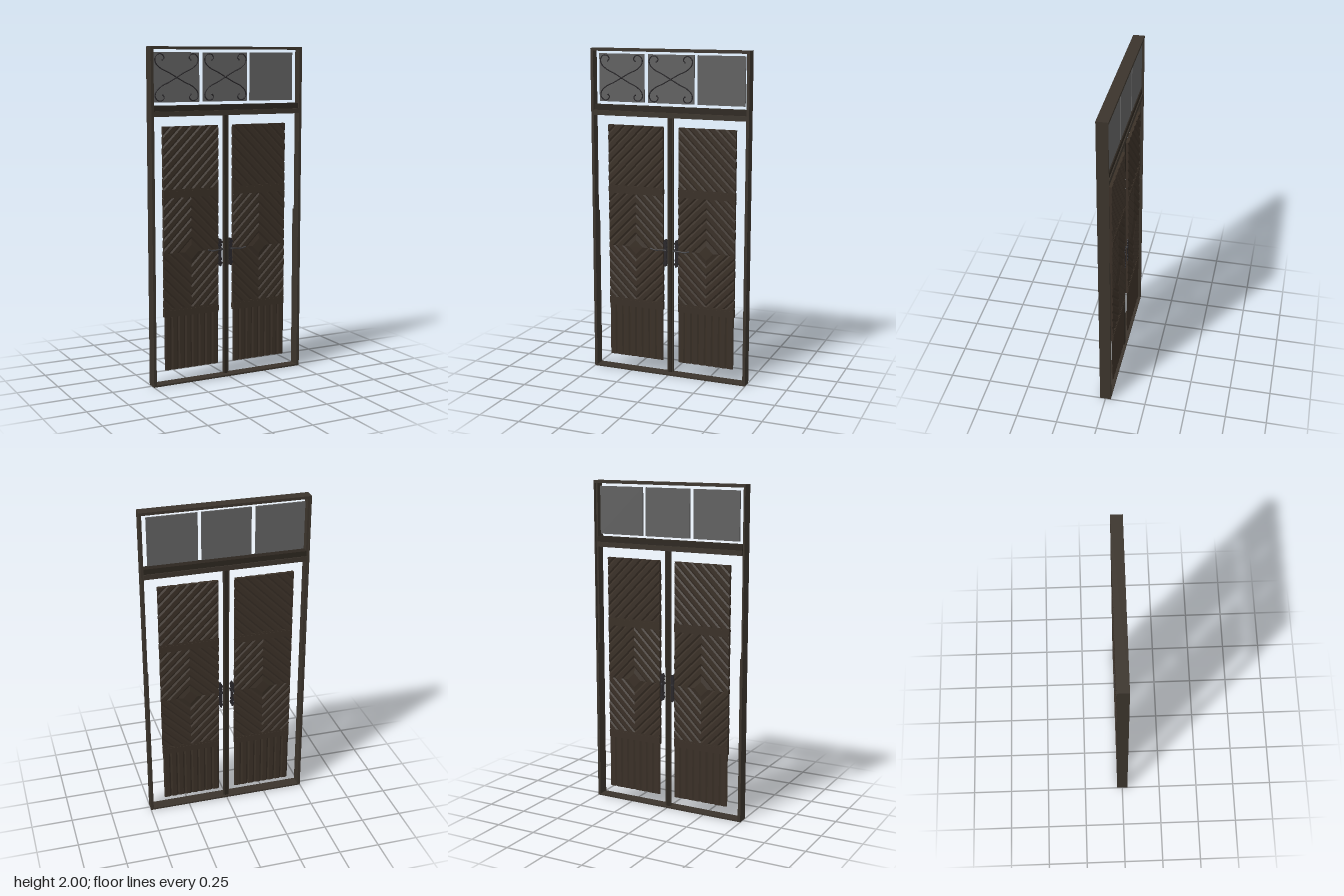
import * as THREE from 'three';

const mat = (name, color) => {
  const m = new THREE.MeshStandardMaterial({ color });
  m.name = name;
  return m;
};

// keep the part of a convex polygon where nx*x + ny*y <= d
function clip(poly, nx, ny, d) {
  const out = [];
  poly.forEach((p, i) => {
    const q = poly[(i + 1) % poly.length];
    const fp = nx * p[0] + ny * p[1] - d, fq = nx * q[0] + ny * q[1] - d;
    if (fp <= 0) out.push(p);
    if (fp * fq < 0) {
      const t = fp / (fp - fq);
      out.push([p[0] + (q[0] - p[0]) * t, p[1] + (q[1] - p[1]) * t]);
    }
  });
  return out;
}

// board section: position across the width, half thickness
const SECTION = [[0, 0.005], [0.22, 0.011], [0.78, 0.011], [1, 0.005]];

// two-sided bevelled boards filling a convex counter-clockwise region,
// running along the lines nx*x + ny*y = start + i*width
function boards(region, nx, ny, start, width) {
  const pos = [];
  const across = ([x, y]) => nx * x + ny * y;
  const end = Math.max(...region.map(across));
  for (let e = start; e < end; e += width) {
    for (let k = 0; k < SECTION.length - 1; k++) {
      const [u0, h0] = SECTION[k], [u1, h1] = SECTION[k + 1];
      const t0 = e + u0 * width, t1 = e + u1 * width;
      const poly = clip(clip(region, nx, ny, t1), -nx, -ny, -t0);
      if (poly.length < 3) continue;
      const at = (p, side) => [p[0], p[1], side * (h0 + (h1 - h0) * (across(p) - t0) / (t1 - t0))];
      for (let i = 1; i < poly.length - 1; i++) {
        pos.push(...at(poly[0], 1), ...at(poly[i], 1), ...at(poly[i + 1], 1));
        pos.push(...at(poly[0], -1), ...at(poly[i + 1], -1), ...at(poly[i], -1));
      }
      // end grain, only where an edge crosses the board
      poly.forEach((p, i) => {
        const q = poly[(i + 1) % poly.length];
        if (Math.abs(across(p) - across(q)) < 1e-5) return;
        pos.push(...at(p, -1), ...at(q, -1), ...at(q, 1), ...at(p, -1), ...at(q, 1), ...at(p, 1));
      });
    }
  }
  const geo = new THREE.BufferGeometry();
  geo.setAttribute('position', new THREE.Float32BufferAttribute(pos, 3));
  geo.computeVertexNormals();
  return geo;
}
const rect = (x0, x1, y0, y1) => [[x0, y0], [x1, y0], [x1, y1], [x0, y1]];

export function createModel() {
  const root = new THREE.Group();
  root.name = 'doubleDoor';
  const frameWood = mat('frameWood', 0x3b342c);
  const darkWood = mat('darkWood', 0x2c261f);
  const panelWood = mat('panelWood', 0x3a3027);
  const glass = mat('greyGlass', 0x606060);
  const iron = mat('blackIron', 0x29272a);
  const steel = mat('darkSteel', 0x3f3f42);

  const add = (parent, name, geo, m, x = 0, y = 0, z = 0) => {
    const mesh = new THREE.Mesh(geo, m);
    mesh.name = name;
    mesh.position.set(x, y, z);
    parent.add(mesh);
    return mesh;
  };
  // box given by its x, y and z ranges
  const box = (parent, name, m, x0, x1, y0, y1, z0, z1) =>
    add(parent, name, new THREE.BoxGeometry(x1 - x0, y1 - y0, z1 - z0), m,
      (x0 + x1) / 2, (y0 + y1) / 2, (z0 + z1) / 2);

  // outer frame; the upper half of each jamb is rebated at the back
  const D = 0.034;
  for (const s of [-1, 1]) {
    add(root, 'lowerJamb', new THREE.BoxGeometry(0.017, 1, 2 * D), frameWood, s * 0.4915, 0.5, 0);
    add(root, 'upperJamb', new THREE.BoxGeometry(0.017, 0.984, 0.052), frameWood, s * 0.4915, 1.492, 0.008);
    add(root, 'upperJambLip', new THREE.BoxGeometry(0.005, 0.984, 0.016), frameWood, s * 0.4975, 1.492, -0.026);
  }
  box(root, 'frameHead', frameWood, -0.5, 0.5, 1.984, 2, -D, D);
  box(root, 'frameSill', frameWood, -0.483, 0.483, 0, 0.01, -D, D);

  // transom rail and centre post
  box(root, 'transomRail', frameWood, -0.483, 0.483, 1.6, 1.63, -0.032, 0.032);
  box(root, 'transomMoulding', darkWood, -0.483, 0.483, 1.63, 1.662, -0.026, 0.02);
  box(root, 'centrePost', frameWood, -0.018, 0.018, 0.01, 1.6, -0.019, -0.007);
  box(root, 'postBead', darkWood, -0.01, 0.01, 0.01, 1.6, -0.022, -0.004);

  // transom panes
  const Z = -0.02;
  const paneX = [[-0.465, -0.172], [-0.147, 0.146], [0.167, 0.46]];
  for (const [a, b] of paneX) box(root, 'transomPane', glass, a, b, 1.68, 1.967, Z - 0.005, Z + 0.005);

  // wrought scrolls in front of two panes: four curled arms meeting at a collar
  const arm = [[0, 0], [0.05, 0.028], [0.1, 0.052], [0.132, 0.083], [0.136, 0.112],
    [0.118, 0.133], [0.092, 0.132], [0.08, 0.113], [0.09, 0.1]];
  for (const [a, b] of paneX.slice(0, 2)) {
    const scroll = new THREE.Group();
    scroll.name = 'ironScroll';
    scroll.position.set((a + b) / 2, 1.8235, Z + 0.008);
    root.add(scroll);
    for (const sx of [-1, 1]) for (const sy of [-1, 1]) {
      const path = new THREE.CatmullRomCurve3(arm.map(([x, y]) => new THREE.Vector3(x * sx, y * sy, 0)));
      add(scroll, 'scrollArm', new THREE.TubeGeometry(path, 40, 0.0035, 6), iron);
      add(scroll, 'scrollTip', new THREE.SphereGeometry(0.005, 8, 6), iron, 0.09 * sx, 0.1 * sy, 0);
    }
    add(scroll, 'scrollCollar', new THREE.SphereGeometry(0.006, 8, 6), iron);
  }

  // door leaves
  const X0 = 0.05, X1 = 0.409, CX = (X0 + X1) / 2, CY = 0.79, PITCH = 0.0625, LOZENGE = 0.08;
  for (const s of [-1, 1]) {
    const leaf = new THREE.Group();
    leaf.name = s > 0 ? 'leftLeaf' : 'rightLeaf';
    leaf.position.z = Z;
    root.add(leaf);
    const a = s > 0 ? X0 : -X1, b = s > 0 ? X1 : -X0, cx = s * CX;

    // upper diagonal boards, mirrored about the post
    add(leaf, 'diagonalBoards', boards(rect(a, b, 1.16, 1.54), s, 1, X0 + 1.16, PITCH), panelWood);

    // centre lozenge and concentric diamond boards, one quarter at a time
    for (const sx of [-1, 1]) for (const sy of [-1, 1]) {
      const quarter = rect(sx < 0 ? a : cx, sx < 0 ? cx : b, sy < 0 ? 0.45 : CY, sy < 0 ? CY : 1.13);
      const base = sx * cx + sy * CY;
      add(leaf, 'centreLozenge', boards(clip(quarter, sx, sy, base + LOZENGE - 1e-6), sx, sy,
        base - LOZENGE, 2 * LOZENGE), panelWood);
      add(leaf, 'diamondBoards', boards(quarter, sx, sy, base + LOZENGE, PITCH), panelWood);
    }

    // lower upright boards
    add(leaf, 'uprightBoards', boards(rect(a, b, 0.08, 0.41), 1, 0, a, (b - a) / 8 + 1e-6), panelWood);

    // cross rails with a raised centre band
    for (const y of [0.43, 1.145]) {
      box(leaf, 'crossRail', panelWood, a, b, y - 0.025, y + 0.025, -0.0115, 0.0115);
      box(leaf, 'crossRailBand', panelWood, a, b, y - 0.015, y + 0.015, -0.0135, 0.0135);
    }

    // ornate handle plates on both faces
    const handle = new THREE.Group();
    handle.name = 'handleSet';
    handle.position.set(s * 0.036, 0, 0);
    leaf.add(handle);
    for (const f of [-1, 1]) {
      const z = f * 0.01;
      box(handle, 'handlePlate', iron, -0.007, 0.007, 0.7, 0.835, z - 0.002, z + 0.002);
      for (const [y, r] of [[0.69, 0.006], [0.705, 0.012], [0.73, 0.01], [0.79, 0.013], [0.815, 0.01],
        [0.833, 0.012], [0.847, 0.006]]) {
        const boss = add(handle, 'plateBoss', new THREE.CylinderGeometry(r, r, 0.005, 12), iron, 0, y, z);
        boss.rotation.x = Math.PI / 2;
      }
    }
    const spindle = add(handle, 'handleSpindle', new THREE.CylinderGeometry(0.005, 0.005, 0.042, 10),
      steel, 0, 0.79, 0.008);
    spindle.rotation.x = Math.PI / 2;

    // front lever reaching over the panel
    const lever = new THREE.CatmullRomCurve3([[-0.014, 0.79], [0.02, 0.791], [0.055, 0.787], [0.088, 0.794]]
      .map(([x, y]) => new THREE.Vector3(s * x, y, 0.028)));
    add(handle, 'handleLever', new THREE.TubeGeometry(lever, 16, 0.004, 8), steel);
    add(handle, 'leverTip', new THREE.SphereGeometry(0.005, 8, 6), steel, s * 0.088, 0.794, 0.028);
  }
  return root;
}
